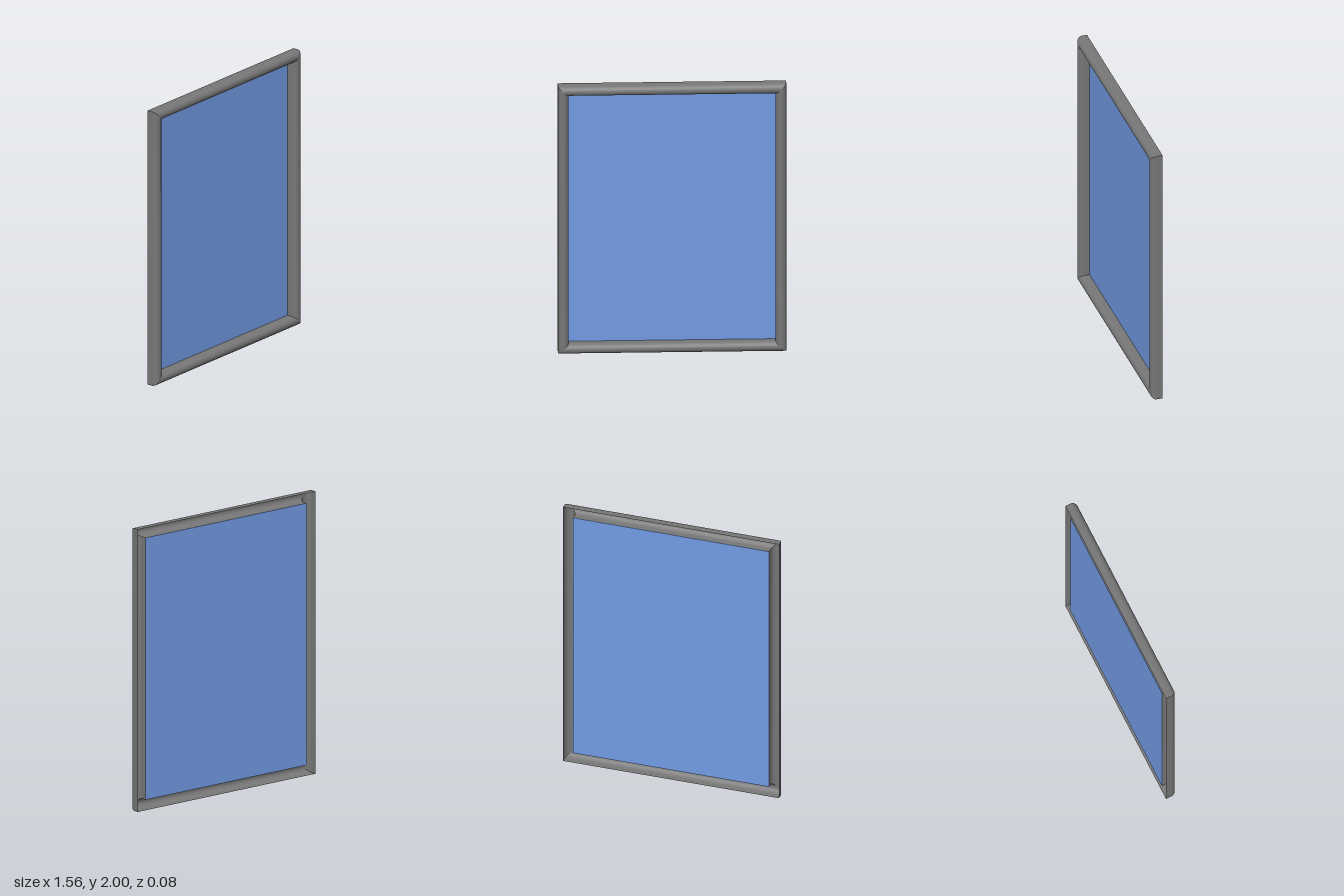
import * as THREE from 'three';

const HALF_W = 0.78, HALF_H = 1, RAIL = 0.073, FRONT = 0.04, BACK = -0.04, PANEL_Z = -0.034;

// Moulding section as [inset from the outer edge, z]: outer wall, rounded front, inner wall
function section() {
  const points = [[0, BACK]];
  const steps = 10, r = RAIL / 2;
  for (let i = 0; i <= steps; i++) {
    const a = (Math.PI * i) / steps;
    points.push([r - r * Math.cos(a), FRONT * Math.sin(a)]);
  }
  points.push([RAIL, PANEL_Z - 0.001]);
  return points;
}

// One hollow rail along x with mitred ends, outer edge on +y, open at the back
function railGeometry(halfLength, halfOther) {
  const position = [], index = [];
  section().forEach(([inset, z], i) => {
    const x = halfLength - inset, y = halfOther - inset;
    position.push(-x, y, z, x, y, z);
    if (i > 0) {
      const a = 2 * i - 2;
      index.push(a, a + 2, a + 1, a + 1, a + 2, a + 3);
    }
  });
  const geometry = new THREE.BufferGeometry();
  geometry.setAttribute('position', new THREE.Float32BufferAttribute(position, 3));
  geometry.setIndex(index);
  geometry.computeVertexNormals();
  return geometry;
}

export function createModel() {
  const model = new THREE.Group();
  model.name = 'pictureFrame';
  const frameMaterial = new THREE.MeshStandardMaterial({ color: 0x777777, side: THREE.DoubleSide });
  const panelMaterial = new THREE.MeshStandardMaterial({ color: 0x729be4 });

  // Four mitred rails, each turned a quarter further
  const frame = new THREE.Group();
  frame.name = 'frame';
  frame.position.y = HALF_H;
  ['topRail', 'rightRail', 'bottomRail', 'leftRail'].forEach((name, i) => {
    const geometry = i % 2 ? railGeometry(HALF_H, HALF_W) : railGeometry(HALF_W, HALF_H);
    const rail = new THREE.Mesh(geometry, frameMaterial);
    rail.name = name;
    rail.rotation.z = (i * Math.PI) / 2;
    frame.add(rail);
  });
  model.add(frame);

  // Thin picture panel set at the back of the opening
  const panel = new THREE.Mesh(
    new THREE.BoxGeometry(2 * (HALF_W - RAIL), 2 * (HALF_H - RAIL), 0.003),
    panelMaterial
  );
  panel.name = 'picturePanel';
  panel.position.set(0, HALF_H, PANEL_Z);
  model.add(panel);

  return model;
}
